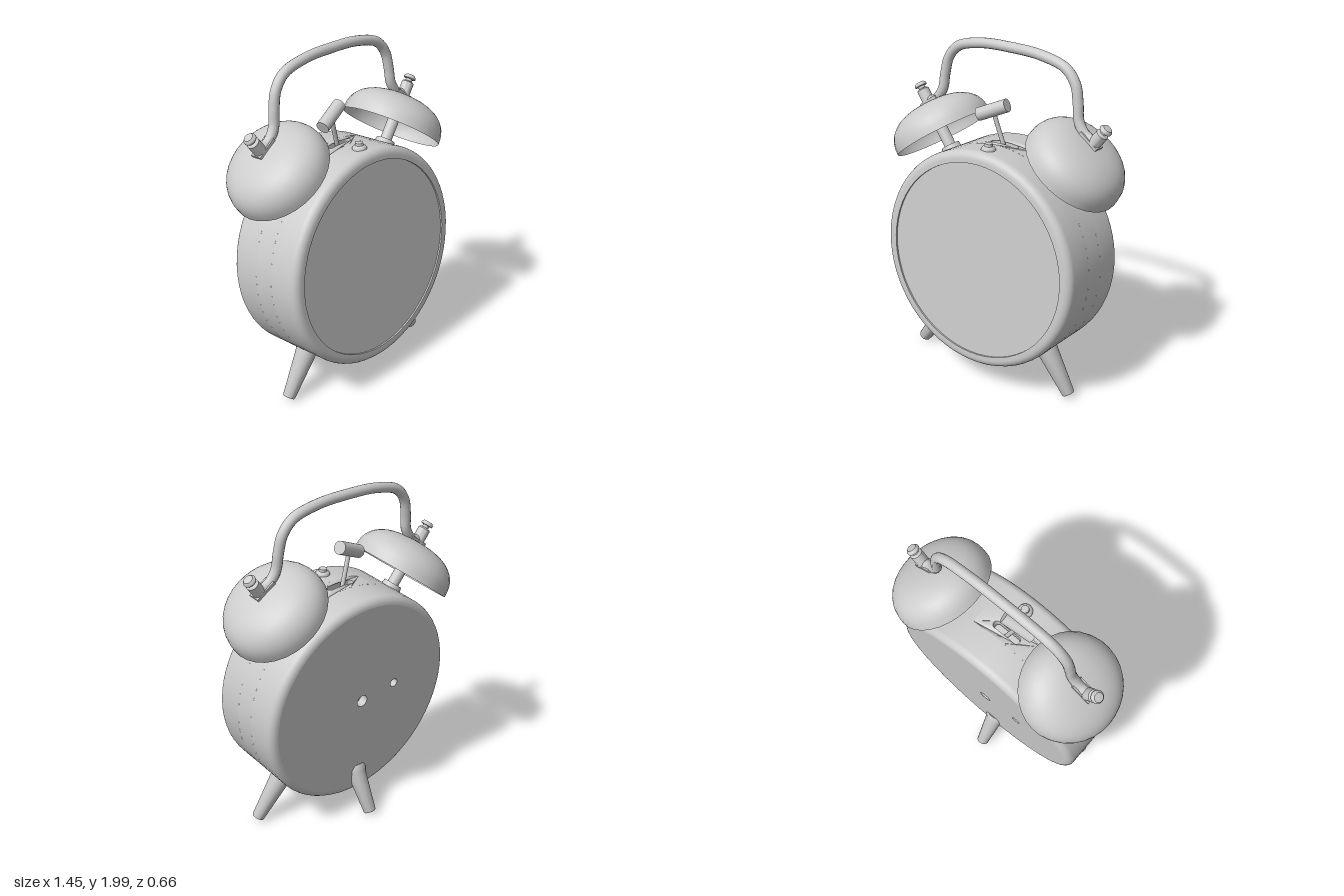
import * as THREE from 'three';
import { toCreasedNormals } from 'three/addons/utils/BufferGeometryUtils.js';

const grey = new THREE.MeshStandardMaterial({ color: 0xcccccc });
const thin = new THREE.MeshStandardMaterial({ color: 0xcccccc, side: THREE.DoubleSide });
const V = (x, y, z = 0) => new THREE.Vector3(x, y, z);
const R = 0.645, HALF = 0.25, TILT = 0.082;

function add(parent, name, geo, mat = grey) {
  const m = new THREE.Mesh(geo, mat);
  m.name = name;
  parent.add(m);
  return m;
}

// Lathe from [radius, height] pairs, smooth with sharp corners kept
function lathe(pts, seg = 32, start = 0, len = Math.PI * 2) {
  const g = new THREE.LatheGeometry(pts.map(p => new THREE.Vector2(p[0], p[1])), seg, start, len);
  return toCreasedNormals(g, 0.7);
}

// Moves a y-axis part so it starts at a and points at b
function aim(mesh, a, b) {
  mesh.position.copy(a);
  mesh.quaternion.setFromUnitVectors(V(0, 1, 0), b.clone().sub(a).normalize());
  return mesh;
}

// Quarter-round edge points, angles in radians
function arc(cx, cy, r, a0, a1, n = 6) {
  return Array.from({ length: n + 1 }, (_, i) => {
    const a = a0 + (a1 - a0) * i / n;
    return [cx + r * Math.cos(a), cy + r * Math.sin(a)];
  });
}

// Piece of case wall with a rounded slot, bent around the barrel
function slotWall(halfU, halfV, depth) {
  const outline = [], n = 14;
  for (let i = 0; i <= n; i++) outline.push(new THREE.Vector2(-halfU + 2 * halfU * i / n, -halfV));
  for (let i = 0; i <= n; i++) outline.push(new THREE.Vector2(halfU - 2 * halfU * i / n, halfV));
  const shape = new THREE.Shape(outline);
  const slot = new THREE.Path();
  slot.absarc(0.07, 0, 0.021, -Math.PI / 2, Math.PI / 2);
  slot.absarc(-0.07, 0, 0.021, Math.PI / 2, Math.PI * 1.5);
  slot.closePath();
  shape.holes.push(new THREE.Path(slot.getSpacedPoints(48).slice(0, -1)));
  const g = new THREE.ExtrudeGeometry(shape, { depth, bevelEnabled: false });
  const p = g.attributes.position;
  for (let i = 0; i < p.count; i++) {
    const a = p.getX(i) / R, r = R - depth + p.getZ(i);
    p.setXYZ(i, r * Math.sin(a), r * Math.cos(a), -p.getY(i));
  }
  return toCreasedNormals(g, 0.5);
}

function buildCase(body) {
  const turn = g => g.rotateX(Math.PI / 2);
  const gap = 0.3, mid = 0.06;
  add(body, 'caseBack', turn(lathe([...arc(R - 0.045, -HALF + 0.045, 0.045, -Math.PI / 2, 0), [R, -mid]], 64)));
  add(body, 'caseMiddle', turn(lathe([[R, -mid], [R, mid]], 60, Math.PI + gap, 2 * (Math.PI - gap))));
  add(body, 'hammerSlot', slotWall(gap * R, mid, 0.05));
  add(body, 'slotFloor', new THREE.BoxGeometry(0.24, 0.01, 0.1)).position.y = R - 0.075;
  add(body, 'bezel', turn(lathe([[R, mid], ...arc(R - 0.045, HALF - 0.045, 0.045, 0, Math.PI / 2),
    [0.577, HALF], [0.577, HALF - 0.012]], 64)));
  add(body, 'dial', new THREE.CircleGeometry(0.578, 64)).position.z = HALF - 0.01;

  // Back plate with two winding holes (x, y, radius)
  const plate = new THREE.Shape();
  plate.absarc(0, 0, R - 0.045, 0, Math.PI * 2);
  for (const [x, y, r] of [[0, 0, 0.036], [0.24, 0.035, 0.026]]) {
    const hole = new THREE.Path();
    hole.absarc(x, y, r, 0, Math.PI * 2, true);
    plate.holes.push(hole);
    const pocket = new THREE.Group();
    pocket.name = 'windingHole';
    pocket.position.set(-x, y, -HALF);
    const wall = add(pocket, 'holeWall', new THREE.CylinderGeometry(r, r, 0.05, 24, 1, true), thin);
    wall.rotation.x = Math.PI / 2;
    wall.position.z = 0.025;
    const floor = add(pocket, 'holeFloor', new THREE.CircleGeometry(r, 24));
    floor.rotation.y = Math.PI;
    floor.position.z = 0.05;
    body.add(pocket);
  }
  const back = add(body, 'backPlate', new THREE.ShapeGeometry(plate, 32));
  back.rotation.y = Math.PI;
  back.position.z = -HALF;

  // Small button on top
  add(body, 'topButton', lathe([[0.042, 0], [0.042, 0.008], [0.036, 0.018], [0.024, 0.024], [0.022, 0.038], [0, 0.04]], 20))
    .position.set(0, R - 0.004, 0.155);
}

function buildBell(body, s) {
  const bell = new THREE.Group();
  bell.name = s > 0 ? 'leftBell' : 'rightBell';
  bell.rotation.z = -s * 0.635;
  bell.position.z = -0.012;
  body.add(bell);
  const rim = 0.748, dome = [];
  for (let i = 0; i <= 14; i++) {
    const a = i / 14 * Math.PI / 2, e = 2 / 2.5;
    dome.push([0.3 * Math.max(0, Math.cos(a)) ** e, 0.2 * Math.sin(a) ** e]);
  }
  dome[14][0] = 0;
  add(bell, 'bellDome', lathe(dome, 32), thin).position.y = rim;
  add(bell, 'bellPost', new THREE.CylinderGeometry(0.034, 0.034, 0.33, 20)).position.y = 0.775;
  add(bell, 'postFlange', new THREE.CylinderGeometry(0.055, 0.06, 0.03, 20)).position.y = R + 0.01;
  add(bell, 'handleLug', new THREE.BoxGeometry(0.13, 0.018, 0.07)).position.set(-s * 0.025, rim + 0.205, 0);
  add(bell, 'bellStud', lathe([[0.036, 0], [0.036, 0.085], [0.03, 0.092], [0.02, 0.094], [0.02, 0.108],
    [0.036, 0.11], [0.036, 0.12], [0.026, 0.132], [0, 0.134]], 20)).position.y = rim + 0.198;
}

export function createModel() {
  const root = new THREE.Group();
  root.name = 'alarmClock';
  const body = new THREE.Group();
  body.name = 'clockBody';
  body.position.set(0, 0.785, 0.03);
  body.rotation.x = -TILT;
  root.add(body);

  buildCase(body);
  for (const s of [1, -1]) buildBell(body, s);

  // Carrying handle between the bell tops
  const half = [[0.575, 0.775], [0.51, 0.8], [0.462, 0.87], [0.449, 0.96], [0.425, 1.06], [0.36, 1.135], [0.2, 1.178]];
  const path = [...half.map(p => V(-p[0], p[1])), V(0, 1.187), ...half.slice().reverse().map(p => V(p[0], p[1]))];
  add(body, 'handle', new THREE.TubeGeometry(new THREE.CatmullRomCurve3(path), 90, 0.029, 14)).position.z = -0.012;

  // Tapered legs with a small collar where they meet the case
  const leg = (len, top) => lathe([[0, 0], [top, 0], [top + 0.002, 0.03], [top - 0.006, 0.045],
    [0.037, len - 0.006], [0.032, len], [0, len]], 24);
  for (const s of [1, -1]) {
    const dir = V(s * Math.sin(0.62), -Math.cos(0.62));
    aim(add(body, s > 0 ? 'frontLegLeft' : 'frontLegRight', leg(0.33, 0.068)),
      dir.clone().multiplyScalar(0.605), dir.clone().multiplyScalar(2));
  }
  aim(add(root, 'backLeg', leg(0.3, 0.062)), V(-0.015, 0.28, -0.135), V(-0.015, 0.022, -0.285));

  // Hammer: thin rod out of the slot, drum head
  const foot = V(0.005, 1.36, -0.03), top = V(-0.075, 1.613, -0.012);
  const rodGeo = new THREE.CylinderGeometry(0.013, 0.013, foot.distanceTo(top), 12);
  rodGeo.translate(0, foot.distanceTo(top) / 2, 0);
  aim(add(root, 'hammerRod', rodGeo), foot, top);
  aim(add(root, 'hammerHead', new THREE.CylinderGeometry(0.038, 0.038, 0.19, 24)), top, top.clone().add(V(0.91, 0.41, -0.2)));
  return root;
}
